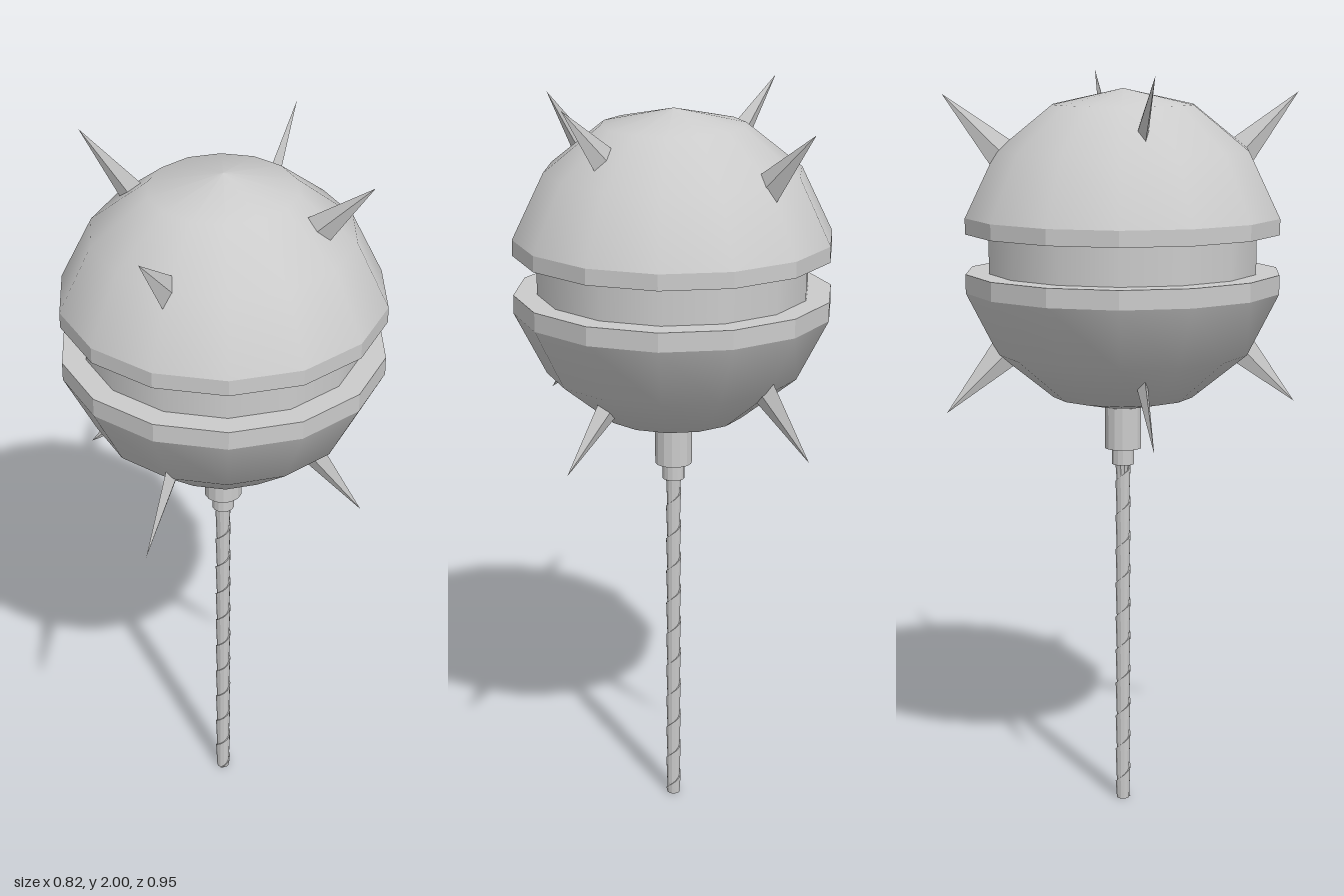
import * as THREE from 'three';

const SIDES = 14;
const MID_Y = 1.53;

const smooth = new THREE.MeshStandardMaterial({ color: 0xcccccc, side: THREE.DoubleSide });
const flat = new THREE.MeshStandardMaterial({ color: 0xcccccc, side: THREE.DoubleSide, flatShading: true });

function add(parent, name, geometry, material) {
  const mesh = new THREE.Mesh(geometry, material);
  mesh.name = name;
  parent.add(mesh);
  return mesh;
}

function lathe(points, sides = SIDES) {
  return new THREE.LatheGeometry(points.map(([r, y]) => new THREE.Vector2(r, y)), sides);
}

function cylinder(radius, bottom, top, sides) {
  return new THREE.CylinderGeometry(radius, radius, top - bottom, sides).translate(0, (bottom + top) / 2, 0);
}

// Strip wound up the shaft, each turn overlapping the next with a small step
function wrapGeometry(inner, outer, height, turns, perTurn) {
  const pitch = height / turns;
  const positions = [];
  const indices = [];
  const steps = (turns + 1) * perTurn;
  for (let i = 0; i <= steps; i++) {
    const angle = (i / perTurn) * Math.PI * 2;
    const low = (i / perTurn - 1) * pitch;
    for (const [r, y] of [[inner, low], [outer, low + pitch], [inner, low + pitch]]) {
      positions.push(r * Math.sin(angle), THREE.MathUtils.clamp(y, 0, height), r * Math.cos(angle));
    }
    if (i === steps) break;
    for (let j = 0; j < 2; j++) {
      const a = i * 3 + j;
      indices.push(a, a + 3, a + 1, a + 3, a + 4, a + 1);
    }
  }
  const geometry = new THREE.BufferGeometry();
  geometry.setAttribute('position', new THREE.Float32BufferAttribute(positions, 3));
  geometry.setIndex(indices);
  geometry.computeVertexNormals();
  return geometry;
}

// Thin four-sided spike with its tip at the origin, pointing up
function spikeGeometry() {
  const length = 0.26;
  const geometry = new THREE.ConeGeometry(1, length, 4);
  return geometry.translate(0, -length / 2, 0).scale(0.051, 1, 0.0185);
}

export function createModel() {
  const model = new THREE.Group();
  model.name = 'spikedMace';

  // Two half shells with flat rims around a recessed core
  const head = new THREE.Group();
  head.name = 'head';
  model.add(head);
  add(head, 'lowerShell', lathe([[0, 1.103], [0.19, 1.145], [0.338, 1.265], [0.422, 1.43]]), smooth);
  add(head, 'lowerRim', lathe([[0.422, 1.43], [0.422, 1.48], [0.3, 1.48]]), flat);
  add(head, 'core', lathe([[0.36, 1.47], [0.36, 1.595]]), smooth);
  add(head, 'upperRim', lathe([[0.3, 1.585], [0.422, 1.585], [0.422, 1.627]]), flat);
  add(head, 'upperShell', lathe([[0.422, 1.627], [0.338, 1.8], [0.19, 1.918], [0, 1.96]]), smooth);

  // Four spikes above and four below, all tilted 45 degrees outward
  const spike = spikeGeometry();
  for (let i = 0; i < 4; i++) {
    const onX = i % 2 === 0;
    const reach = onX ? 0.395 : 0.477;
    const rise = onX ? 0.47 : 0.418;
    for (const side of [1, -1]) {
      const arm = new THREE.Group();
      arm.name = side > 0 ? 'upperSpike' : 'lowerSpike';
      arm.rotation.y = (i * Math.PI) / 2;
      const mesh = add(arm, 'spike', spike, flat);
      mesh.position.set(reach, MID_Y + side * rise, 0);
      mesh.rotation.z = side > 0 ? -Math.PI / 4 : (-3 * Math.PI) / 4;
      head.add(arm);
    }
  }

  // Handle: socket, collar and wrapped shaft
  const handle = new THREE.Group();
  handle.name = 'handle';
  model.add(handle);
  add(handle, 'socket', cylinder(0.05, 1.0, 1.13, 14), flat);
  add(handle, 'collar', cylinder(0.03, 0.955, 1.0, 14), flat);
  add(handle, 'shaft', cylinder(0.0175, 0, 0.96, 12), smooth);
  add(handle, 'shaftWrap', wrapGeometry(0.0175, 0.021, 0.955, 10, 12), flat);

  return model;
}
